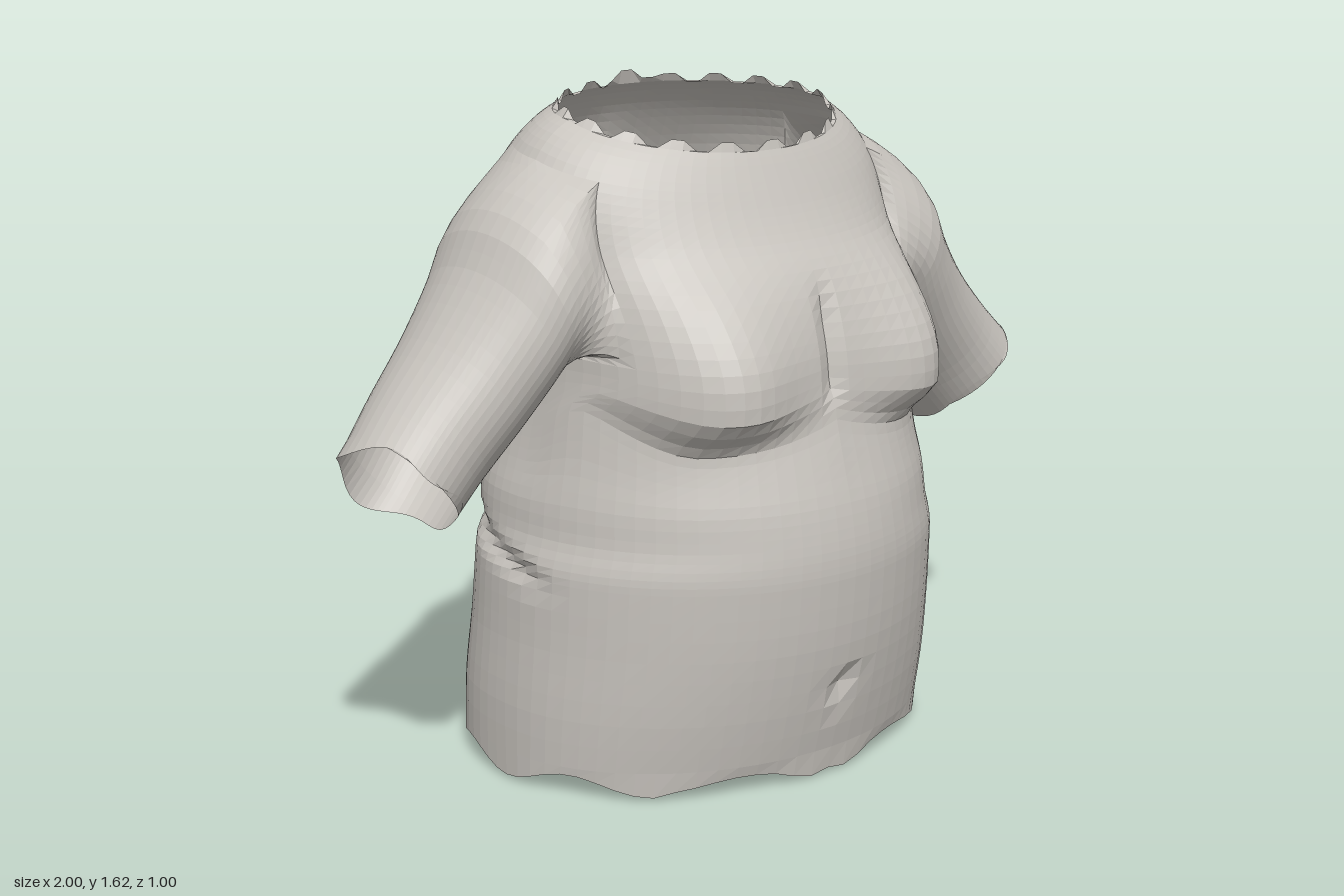
import * as THREE from 'three';

const skin = new THREE.MeshStandardMaterial({ color: 0xc8c4be, flatShading: true, side: THREE.DoubleSide });
skin.name = 'pale grey';

// Torso rings from hem to neck: y, half width, front z, back z
const TORSO = [
  [0.04, 0.60, 0.42, -0.50], [0.20, 0.60, 0.46, -0.485], [0.36, 0.59, 0.49, -0.455],
  [0.50, 0.585, 0.503, -0.43], [0.56, 0.58, 0.505, -0.425], [0.62, 0.56, 0.50, -0.44],
  [0.70, 0.55, 0.485, -0.445], [0.78, 0.525, 0.46, -0.45], [0.86, 0.505, 0.435, -0.45],
  [0.94, 0.49, 0.425, -0.455], [1.04, 0.48, 0.415, -0.46], [1.14, 0.485, 0.39, -0.47],
  [1.24, 0.50, 0.35, -0.472], [1.33, 0.51, 0.305, -0.455], [1.41, 0.505, 0.27, -0.425],
  [1.48, 0.48, 0.24, -0.385], [1.535, 0.43, 0.212, -0.345], [1.57, 0.37, 0.19, -0.31],
];
// Left arm sections: top x, top y, bottom x, bottom y, front z, back z
const ARM = [
  [0.52, 1.455, 0.46, 1.05, 0.19, -0.32], [0.62, 1.38, 0.49, 1.01, 0.19, -0.32],
  [0.69, 1.25, 0.53, 0.95, 0.17, -0.31], [0.79, 1.115, 0.60, 0.855, 0.14, -0.29],
  [0.90, 0.995, 0.69, 0.755, 0.12, -0.265], [0.99, 0.90, 0.775, 0.665, 0.12, -0.235],
];
const ROWS = 51, COLS = 72;
// Armhole in the left side of the torso grid, mirrored on the right
const HOLE = { bottom: 30, top: 45, front: 12, back: 24 };
const CREASE = 0.87;
const WIDEST = -0.06;

const bell = (v, w) => Math.exp(-((v / w) ** 2));
const step = THREE.MathUtils.smoothstep;
const lerp = THREE.MathUtils.lerp;

// Smooth sampling of a table of rows at t = 0..1
function sampler(table) {
  const curves = table[0].map((_, i) =>
    new THREE.SplineCurve(table.map((row, j) => new THREE.Vector2(j, row[i]))));
  return (t) => curves.map((curve) => curve.getPoint(t).y);
}
const torsoRing = sampler(TORSO), armSection = sampler(ARM);

// Open tube surface; point(row, col) returns [x, y, z]
function loft(rows, cols, point, { flip = false, skip = () => false } = {}) {
  const pos = [], index = [];
  for (let r = 0; r <= rows; r++) for (let c = 0; c < cols; c++) pos.push(...point(r, c));
  for (let r = 0; r < rows; r++) {
    for (let c = 0; c < cols; c++) {
      if (skip(r, c)) continue;
      const a = r * cols + c, b = r * cols + (c + 1) % cols;
      const q = [a, b, b + cols, a, b + cols, a + cols];
      index.push(...(flip ? q.reverse() : q));
    }
  }
  const geo = new THREE.BufferGeometry();
  geo.setAttribute('position', new THREE.Float32BufferAttribute(pos, 3));
  geo.setIndex(index);
  geo.computeVertexNormals();
  return geo;
}

function torsoPoint(r, c) {
  const [level, w, zf, zb] = torsoRing(r / ROWS);
  const a = (c / COLS) * Math.PI * 2, s = Math.sin(a), k = Math.cos(a);
  // Squarer at the chest and back, round at the belly and neck
  const body = k > 0 ? 2 + 0.6 * bell(level - 1.03, 0.2) : 2.6;
  const n = lerp(body, 2, step(level, 1.3, 1.57));
  const rad = 1 / (Math.abs(s) ** n + Math.abs(k) ** n) ** (1 / n);
  let x = w * rad * s, y = level;
  let z = WIDEST + (k > 0 ? zf - WIDEST : WIDEST - zb) * rad * k;
  const ax = Math.abs(x);

  if (k > 0) {
    // Breasts over a curved crease that the rings follow, and the groove between
    const front = step(k, 0, 0.4);
    const low = 0.845 + (ax > 0.33 ? 4 : 0.5) * (ax - 0.33) ** 2;
    y += front * (low - CREASE) * bell(level - CREASE, 0.1);
    const rise = step(level, CREASE - 0.015, CREASE + 0.08) * (1 - step(level, 0.98, 1.32));
    z += front * 0.095 * rise * bell(ax - 0.33, 0.18);
    z -= 0.02 * bell(x, 0.025) * step(level, 0.88, 0.96) * (1 - step(level, 1.1, 1.24));
    // Navel
    z -= 0.04 * bell(x, 0.035) * bell(level - 0.235, 0.025);
  } else {
    // Spine groove and shoulder blades
    z += 0.035 * bell(x, 0.06) * (1 - step(y, 1.25, 1.5));
    z -= 0.012 * bell(ax - 0.22, 0.12) * step(y, 0.9, 1.2) * (1 - step(y, 1.3, 1.45));
  }
  // Waist fold, deepest at the sides of the back
  const back = 1 - step(z, -0.05, 0.12);
  const fold = 0.53 - 0.27 * Math.max(z, -0.35);
  const pinch = 1 - back * 0.035 * lerp(0.4, 1, step(ax, 0.1, 0.3)) * bell(level - fold, 0.025);
  x *= pinch;
  z = WIDEST + (z - WIDEST) * pinch;

  // Neckline slopes down to the front
  y -= (z > WIDEST ? 0.3 : 0.12) * step(level, 1.15, 1.57) * (z - WIDEST);
  // Ragged hem and neckline
  const turn = Math.min(a, Math.PI * 2 - a);
  if (r === 0) y += 0.022 * Math.sin(turn * 8 - 1.6) * (k > 0.75 ? 0.6 : 1) - 0.015 * bell(ax - 0.07, 0.05);
  if (r === ROWS) y += (c % 4 < 2 ? 0.012 : -0.01) + (k < -0.98 ? 0.015 : 0);
  return [x, y, z];
}

function torsoGeometry() {
  const { bottom, top, front, back } = HOLE;
  const skip = (r, c) => {
    const m = c < COLS / 2 ? c : COLS - 1 - c;
    return r >= bottom && r < top && m >= front && m < back;
  };
  return loft(ROWS, COLS, torsoPoint, { skip });
}

// Arm grown from the edge of the armhole
function armGeometry(side) {
  const { bottom, top, front, back } = HOLE;
  const edge = [];
  for (let c = back; c > front; c--) edge.push([top, c]);
  for (let r = top; r > bottom; r--) edge.push([r, front]);
  for (let c = front; c < back; c++) edge.push([bottom, c]);
  for (let r = bottom; r < top; r++) edge.push([r, back]);
  const midR = (top + bottom) / 2, midC = (front + back) / 2;
  const rows = 18;
  return loft(rows, edge.length, (r, i) => {
    const [er, ec] = edge[i], t = r / rows;
    const a = Math.atan2((midC - ec) / (midC - front), (er - midR) / (top - midR));
    const v = Math.cos(a), u = Math.sin(a), f = (v + 1) / 2;
    const [tx, ty, bx, by, zf, zb] = armSection(t);
    const target = [lerp(bx, tx, f), lerp(by, ty, f), lerp(zb, zf, (u + 1) / 2) + 0.04 * v * t];
    // Cuff cut back at the front, with an uneven edge
    if (r === rows) {
      const cut = 0.025 * u + 0.01 * Math.sin(a * 4);
      target[0] -= cut;
      target[1] += cut;
    }
    const blend = step(t, -0.1, 0.3);
    const p = torsoPoint(er, ec).map((q, j) => (r === 0 ? q : lerp(q, target[j], blend)));
    return [side * p[0], p[1], p[2]];
  }, { flip: side < 0 });
}

export function createModel() {
  const model = new THREE.Group();
  model.name = 'upperBody';
  const add = (name, geo) => {
    const mesh = new THREE.Mesh(geo, skin);
    mesh.name = name;
    model.add(mesh);
  };
  add('torso', torsoGeometry());
  add('leftArm', armGeometry(1));
  add('rightArm', armGeometry(-1));
  return model;
}
